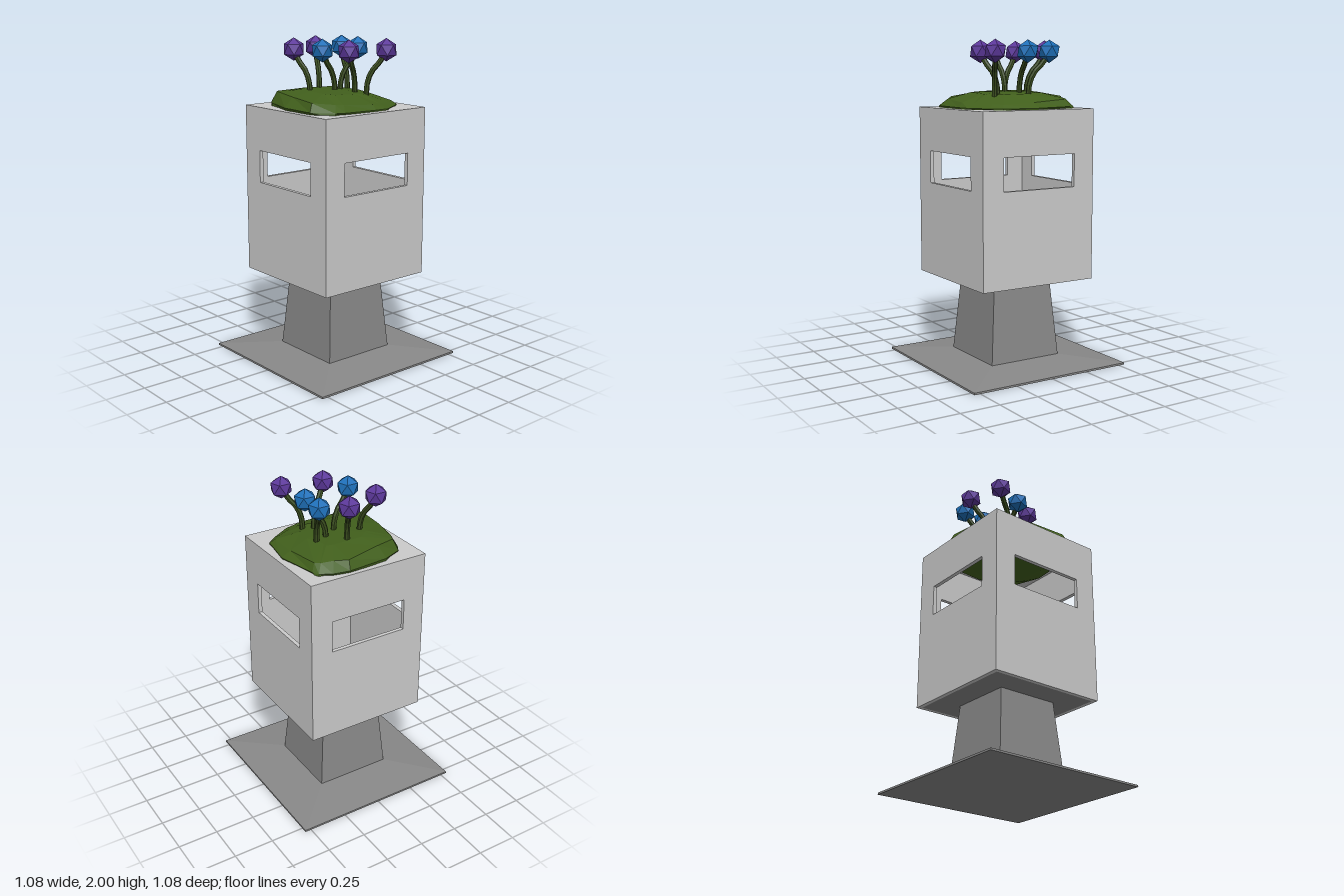
import * as THREE from 'three';

const mat = (color, extra = {}) => new THREE.MeshStandardMaterial({ color, flatShading: true, ...extra });

function addMesh(parent, name, geometry, material, y = 0) {
  const mesh = new THREE.Mesh(geometry, material);
  mesh.name = name;
  mesh.position.y = y;
  parent.add(mesh);
  return mesh;
}

// Square block that tapers from half-width h0 at y0 to h1 at y1
function taperedBlock(h0, y0, h1, y1) {
  const g = new THREE.CylinderGeometry(h1 * Math.SQRT2, h0 * Math.SQRT2, y1 - y0, 4);
  return g.rotateY(Math.PI / 4).translate(0, (y0 + y1) / 2, 0);
}

// Faceted mound: one irregular outline repeated in scaled rings, closed at both ends
function moundGeometry() {
  const outline = [
    [-0.37, -0.12], [-0.35, -0.22], [-0.31, -0.29], [-0.27, -0.31], [-0.01, -0.36], [0.21, -0.32],
    [0.26, -0.26], [0.34, -0.13], [0.345, -0.03], [0.335, 0.2], [0.32, 0.26], [0.21, 0.36],
    [-0.03, 0.36], [-0.25, 0.29], [-0.3, 0.26], [-0.35, 0.14],
  ];
  // [scale, height, tilt]
  const rings = [
    [0, 1.69, 0], [0.5, 1.682, 0.02], [0.88, 1.645, 0.055], [1, 1.6, 0.01],
    [0.97, 1.57, 0], [0.85, 1.52, 0], [0.5, 1.47, 0], [0, 1.455, 0],
  ];
  const n = outline.length;
  const pos = [], index = [];
  rings.forEach(([s, y, tilt], r) => outline.forEach(([x, z], i) => {
    const wobble = 1 + 0.05 * Math.sin(i * 2.3 + r * 4) * (r === 3 ? 0 : 1);
    pos.push(x * s * wobble, y + tilt * (z - x) * 0.9, z * s * wobble);
    if (r === 0) return;
    const j = (i + 1) % n, a = r * n + i, b = r * n + j, c = a - n, d = b - n;
    if (r > 1) index.push(a, c, d);
    if (r === 1) index.push(a, c, b);
    else if (s > 0) index.push(a, d, b);
  }));
  const g = new THREE.BufferGeometry();
  g.setAttribute('position', new THREE.Float32BufferAttribute(pos, 3));
  g.setIndex(index);
  g.computeVertexNormals();
  return g;
}

export function createModel() {
  const model = new THREE.Group();
  const grey = mat(0xcccccc), darkGrey = mat(0x888888);
  const green = mat(0x415f1c), stemGreen = mat(0x3a4d1e);
  const purple = mat(0x5c389a), blue = mat(0x1e70b9);

  // Foot and neck
  addMesh(model, 'footPlate', taperedBlock(0.54, 0, 0.54, 0.012), darkGrey);
  addMesh(model, 'footSlope', taperedBlock(0.54, 0.012, 0.24, 0.042), darkGrey);
  addMesh(model, 'neck', taperedBlock(0.242, 0.04, 0.2, 0.54), darkGrey);

  // Hollow box: four walls with window slots, laid around like a pinwheel
  const H = 0.39, T = 0.025, Y0 = 0.538, Y1 = 1.588;
  const rect = (P, x0, y0, x1, y1) => {
    const p = new P();
    p.moveTo(x0, y0);
    p.lineTo(x1, y0);
    p.lineTo(x1, y1);
    p.lineTo(x0, y1);
    p.closePath();
    return p;
  };
  const wallShape = rect(THREE.Shape, -H, Y0, H - T, Y1);
  wallShape.holes.push(rect(THREE.Path, -0.25, 1.12, 0.25, 1.32));
  const wall = new THREE.ExtrudeGeometry(wallShape, { depth: T, bevelEnabled: false }).translate(0, 0, H - T);
  const box = new THREE.Group();
  box.name = 'hollowBox';
  model.add(box);
  ['front', 'left', 'back', 'right'].forEach((side, i) => {
    addMesh(box, side + 'Wall', wall, grey).rotation.y = i * Math.PI / 2;
  });
  const panel = new THREE.BoxGeometry(2 * (H - T), T, 2 * (H - T));
  addMesh(box, 'boxFloor', panel, darkGrey, Y0 + T / 2);
  addMesh(box, 'boxTop', panel, grey, Y1 - T / 2);

  // Planted mound
  addMesh(model, 'mound', moundGeometry(), green);

  // Flowers: [base x, base z, head x, head z, colour]
  const flowers = [
    [-0.07, -0.16, -0.185, -0.21, blue],
    [-0.05, -0.085, -0.03, -0.21, blue],
    [0, 0, 0.01, 0.105, blue],
    [0.15, -0.125, 0.21, -0.23, purple],
    [-0.155, -0.005, -0.255, -0.055, purple],
    [0.1, -0.075, 0.16, 0.025, purple],
    [-0.08, 0.13, -0.185, 0.17, purple],
  ];
  // Flower head with one corner pointing straight up
  const headGeometry = new THREE.IcosahedronGeometry(0.07, 0)
    .rotateZ(-Math.atan(2 / (1 + Math.sqrt(5))));
  for (const [bx, bz, hx, hz, color] of flowers) {
    const flower = new THREE.Group();
    flower.name = 'flower';
    const at = (t, y) => new THREE.Vector3(bx + (hx - bx) * t, y, bz + (hz - bz) * t);
    const path = new THREE.CatmullRomCurve3([at(0, 1.63), at(0.02, 1.72), at(0.25, 1.8), at(0.75, 1.87), at(1, 1.93)]);
    addMesh(flower, 'stem', new THREE.TubeGeometry(path, 7, 0.017, 7), stemGreen);
    addMesh(flower, 'flowerHead', headGeometry, color).position.set(hx, 1.93, hz);
    model.add(flower);
  }
  return model;
}
